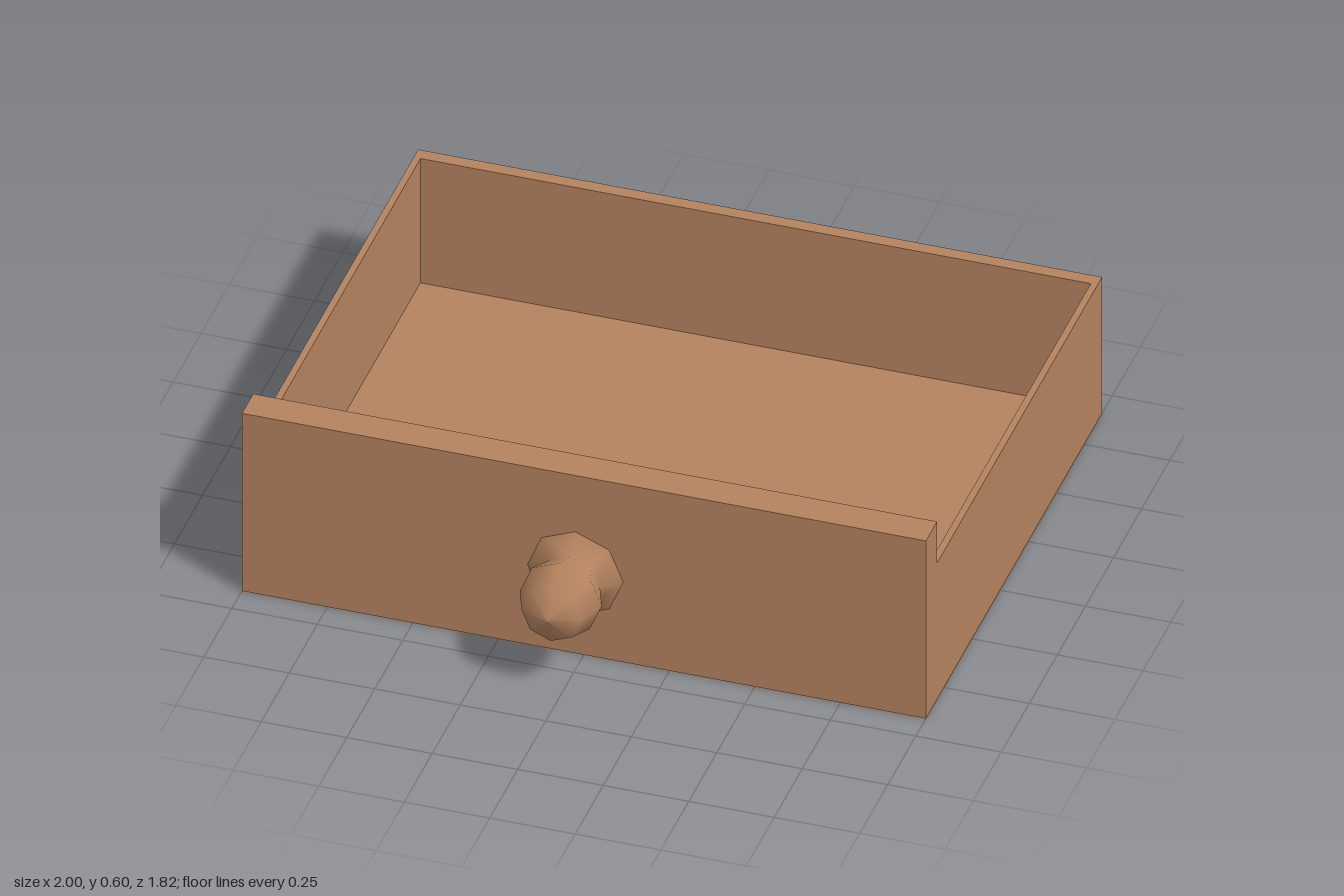
import * as THREE from 'three';

const wood = new THREE.MeshStandardMaterial({ color: 0xb5835f });
wood.name = 'wood';

function add(group, name, geometry, x = 0, y = 0, z = 0) {
  const mesh = new THREE.Mesh(geometry, wood);
  mesh.name = name;
  mesh.position.set(x, y, z);
  group.add(mesh);
  return mesh;
}

// Rectangle outline between plan limits (shape y is -z)
function rectangle(PathType, x, zBack, zFront) {
  return new PathType([
    new THREE.Vector2(-x, -zFront), new THREE.Vector2(x, -zFront),
    new THREE.Vector2(x, -zBack), new THREE.Vector2(-x, -zBack),
  ]);
}

export function createModel() {
  const drawer = new THREE.Group();
  drawer.name = 'drawer';

  // Four thin walls around the open tray
  const floorTop = 0.04;
  const outline = rectangle(THREE.Shape, 1, -0.91, 0.56);
  outline.holes.push(rectangle(THREE.Path, 0.98, -0.87, 0.52));
  const walls = new THREE.ExtrudeGeometry(outline, { depth: 0.46 - floorTop, bevelEnabled: false });
  walls.rotateX(-Math.PI / 2);
  add(drawer, 'trayWalls', walls, 0, floorTop, 0);

  // Floor slab under the walls
  add(drawer, 'trayFloor', new THREE.BoxGeometry(2, floorTop, 1.47), 0, floorTop / 2, -0.175);

  // Taller front panel
  add(drawer, 'frontPanel', new THREE.BoxGeometry(2, 0.6, 0.1), 0, 0.3, 0.61);

  // Eight-sided knob with a flared foot
  const profile = [[0.14, 0], [0.086, 0.043], [0.12, 0.13], [0.086, 0.217], [0, 0.25]];
  const knob = new THREE.LatheGeometry(profile.map(([r, h]) => new THREE.Vector2(r, h)), 8);
  knob.rotateX(Math.PI / 2);
  add(drawer, 'knob', knob, -0.025, 0.27, 0.66);

  return drawer;
}
